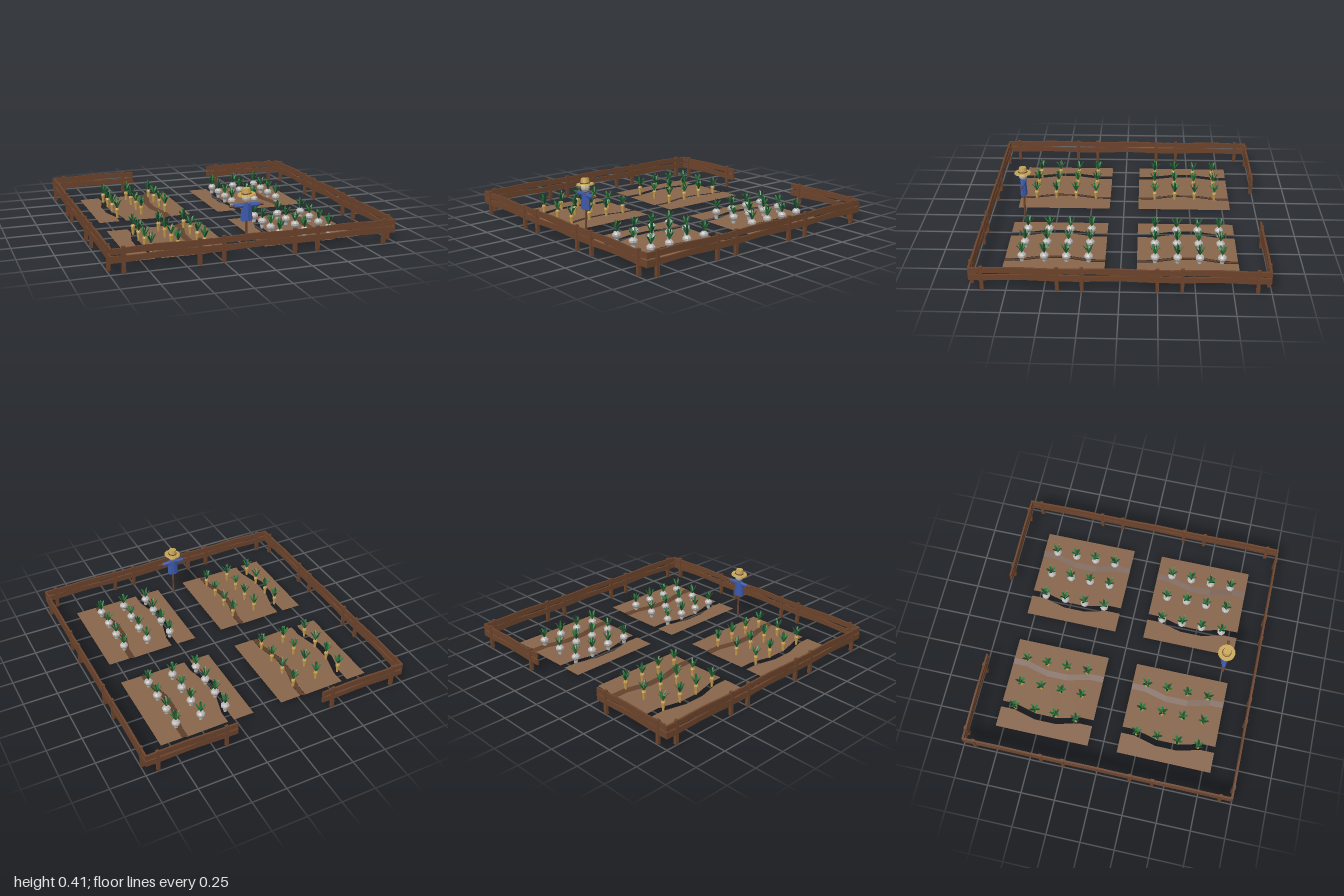
import * as THREE from 'three';

const mat = (name, color, side = THREE.FrontSide) => {
  const m = new THREE.MeshStandardMaterial({ color, side, flatShading: true });
  m.name = name;
  return m;
};

export function createModel() {
  const M = {
    wood: mat('fence wood', 0x6b432b),
    soil: mat('soil', 0x86644a, THREE.DoubleSide),
    furrow: mat('dark furrow', 0x61412d, THREE.DoubleSide),
    leaf: mat('leaf green', 0x2a7a3c, THREE.DoubleSide),
    leafDark: mat('dark leaf green', 0x1d5230, THREE.DoubleSide),
    carrot: mat('golden root', 0xc29a4e),
    turnip: mat('pale root', 0xb9b6b4),
    blue: mat('blue cloth', 0x3b57a8),
    straw: mat('straw hat', 0xc4a456),
    sack: mat('sackcloth', 0xbdb5a6),
  };
  const root = new THREE.Group();
  root.name = 'vegetableGarden';

  const add = (parent, name, geo, material, x = 0, y = 0, z = 0) => {
    const mesh = new THREE.Mesh(geo, material);
    mesh.name = name;
    mesh.position.set(x, y, z);
    parent.add(mesh);
    return mesh;
  };
  const group = (parent, name, x = 0, y = 0, z = 0) => {
    const g = new THREE.Group();
    g.name = name;
    g.position.set(x, y, z);
    parent.add(g);
    return g;
  };

  // Fence: panels of two uneven rails on two posts
  const railGeo = (phase) => {
    const g = new THREE.BoxGeometry(0.665, 0.042, 0.014, 7, 1, 1);
    const p = g.attributes.position;
    for (let i = 0; i < p.count; i++) {
      const x = p.getX(i), top = p.getY(i) > 0;
      p.setY(i, p.getY(i) + 0.004 * Math.sin(x * 11 + phase + (top ? 0 : 1.3)));
    }
    g.computeVertexNormals();
    return g;
  };
  const lowerRail = railGeo(0.4), upperRail = railGeo(2.1);
  const postGeo = new THREE.BoxGeometry(0.024, 0.175, 0.022);
  const panel = (side, offset) => {
    const g = group(side, 'fencePanel', offset, 0, 0.988);
    add(g, 'lowerRail', lowerRail, M.wood, 0, 0.097, 0);
    add(g, 'upperRail', upperRail, M.wood, 0, 0.147, 0);
    for (const x of [-0.248, 0.248]) add(g, 'fencePost', postGeo, M.wood, x, 0.0875, 0);
  };
  ['front', 'left', 'back', 'right'].forEach((name, i) => {
    const side = group(root, name + 'Fence');
    side.rotation.y = i * Math.PI / 2;
    for (const o of [-0.66, 0, 0.66]) if (name !== 'back' || o !== 0) panel(side, o);
  });

  // Soil beds: three sheets cut along a bent line, with a sloped furrow
  const bend = [[-0.35, 0], [-0.25, 0], [-0.08, -0.043], [0.08, -0.043], [0.25, 0], [0.35, 0]];
  const straight = [[-0.35, 0], [0.35, 0]];
  const strip = (lineA, xa, ya, lineB, xb, yb) => {
    const edge = (line, x, y, t) => {
      let k = 0;
      while (k < line.length - 2 && t > line[k + 1][0]) k++;
      const [t0, o0] = line[k], [t1, o1] = line[k + 1];
      return [x + o0 + (o1 - o0) * (t - t0) / (t1 - t0), y, t];
    };
    const pos = [], idx = [];
    bend.forEach(([t], i) => {
      pos.push(...edge(lineA, xa, ya, t), ...edge(lineB, xb, yb, t));
      const a = i * 2;
      if (i < bend.length - 1) idx.push(a, a + 2, a + 1, a + 1, a + 2, a + 3);
    });
    const g = new THREE.BufferGeometry();
    g.setAttribute('position', new THREE.Float32BufferAttribute(pos, 3));
    g.setIndex(idx);
    g.computeVertexNormals();
    return g;
  };
  const sheets = [
    ['soilEdge', strip(straight, -0.35, 0.01, bend, -0.198, 0.01), M.soil],
    ['soilMiddle', strip(bend, -0.152, 0.01, bend, 0.15, 0.006), M.soil],
    ['furrow', strip(bend, 0.15, 0.004, bend, 0.193, 0.016), M.furrow],
    ['soilEnd', strip(bend, 0.193, 0.012, straight, 0.35, 0.012), M.soil],
  ];

  // Crops
  const lathe = (pts, n) => new THREE.LatheGeometry(pts.map(([r, y]) => new THREE.Vector2(r, y)), n);
  const carrotGeo = lathe([[0, 0], [0.008, 0.002], [0.012, 0.04], [0.017, 0.066], [0.012, 0.076], [0, 0.078]], 7);
  const turnipGeo = lathe([[0, 0], [0.013, 0.002], [0.016, 0.028], [0.031, 0.048], [0.031, 0.062], [0.018, 0.076], [0, 0.078]], 8);

  // Folded blade, arching out along +x
  const blade = (reach, height, w) => {
    const rows = [[0, 0, 0.3], [0.35, 0.45, 1], [0.72, 0.85, 0.8], [1, 1, 0]];
    const pos = [], idx = [];
    rows.forEach(([r, h, k], i) => {
      for (const s of [-1, 0, 1]) pos.push(r * reach, h * height + Math.abs(s) * k * 0.003, s * k * w);
      if (i < rows.length - 1) {
        for (const j of [0, 1]) {
          const a = i * 3 + j;
          idx.push(a, a + 1, a + 3, a + 1, a + 4, a + 3);
        }
      }
    });
    const g = new THREE.BufferGeometry();
    g.setAttribute('position', new THREE.Float32BufferAttribute(pos, 3));
    g.setIndex(idx);
    g.computeVertexNormals();
    return g;
  };
  const outerLeaf = blade(0.042, 0.066, 0.009), innerLeaf = blade(0.014, 0.088, 0.008);
  const crop = (parent, isCarrot, x, z, turn) => {
    const g = group(parent, isCarrot ? 'carrotPlant' : 'turnipPlant', x, 0, z);
    g.rotation.y = turn;
    add(g, 'root', isCarrot ? carrotGeo : turnipGeo, isCarrot ? M.carrot : M.turnip);
    for (let i = 0; i < 5; i++) {
      add(g, 'outerLeaf', outerLeaf, i % 2 ? M.leafDark : M.leaf, 0, 0.073, 0).rotation.y = i * Math.PI * 0.4;
    }
    for (let i = 0; i < 2; i++) {
      add(g, 'innerLeaf', innerLeaf, i ? M.leafDark : M.leaf, 0, 0.073, 0).rotation.y = 0.6 + i * Math.PI;
    }
  };

  for (const sx of [-1, 1]) for (const sz of [-1, 1]) {
    const bed = group(root, 'plantingBed', sx * 0.46, 0, sz * 0.46);
    for (const [name, geo, material] of sheets) add(bed, name, geo, material);
    [-0.187, 0, 0.187].forEach((x, i) => {
      [-0.237, -0.083, 0.07, 0.225].forEach((z, j) => crop(bed, sx < 0, x, z, i * 0.5 + j * 0.9));
    });
  }

  // Scarecrow
  const s = group(root, 'scarecrow', 0, 0, 0.745);
  add(s, 'pole', new THREE.CylinderGeometry(0.007, 0.008, 0.32, 6), M.wood, 0, 0.16, 0);
  const stick = add(s, 'crossStick', new THREE.CylinderGeometry(0.009, 0.009, 0.242, 6), M.wood, 0, 0.291, 0);
  stick.rotation.z = Math.PI / 2;
  const shirt = add(s, 'shirt', new THREE.CylinderGeometry(0.036, 0.044, 0.115, 8), M.blue, 0, 0.247, 0);
  shirt.scale.z = 0.62;
  for (const side of [-1, 1]) {
    const sleeve = add(s, 'sleeve', new THREE.CylinderGeometry(0.014, 0.017, 0.06, 7), M.blue, side * 0.058, 0.291, 0);
    sleeve.rotation.z = side * -Math.PI / 2;
    add(s, 'raggedHem', new THREE.ConeGeometry(0.008, 0.03, 5), M.blue, side * 0.024, 0.183, 0).rotation.x = Math.PI;
  }
  add(s, 'head', new THREE.SphereGeometry(0.032, 10, 8), M.sack, 0, 0.342, 0);
  const hat = group(s, 'hat', 0, 0.366, 0);
  hat.rotation.z = 0.09;
  add(hat, 'brim', new THREE.CylinderGeometry(0.06, 0.064, 0.01, 14), M.straw);
  add(hat, 'crown', new THREE.CylinderGeometry(0.027, 0.034, 0.042, 12), M.straw, 0, 0.022, 0);
  add(hat, 'hatBand', new THREE.CylinderGeometry(0.0335, 0.035, 0.007, 12), M.wood, 0, 0.009, 0);

  return root;
}
